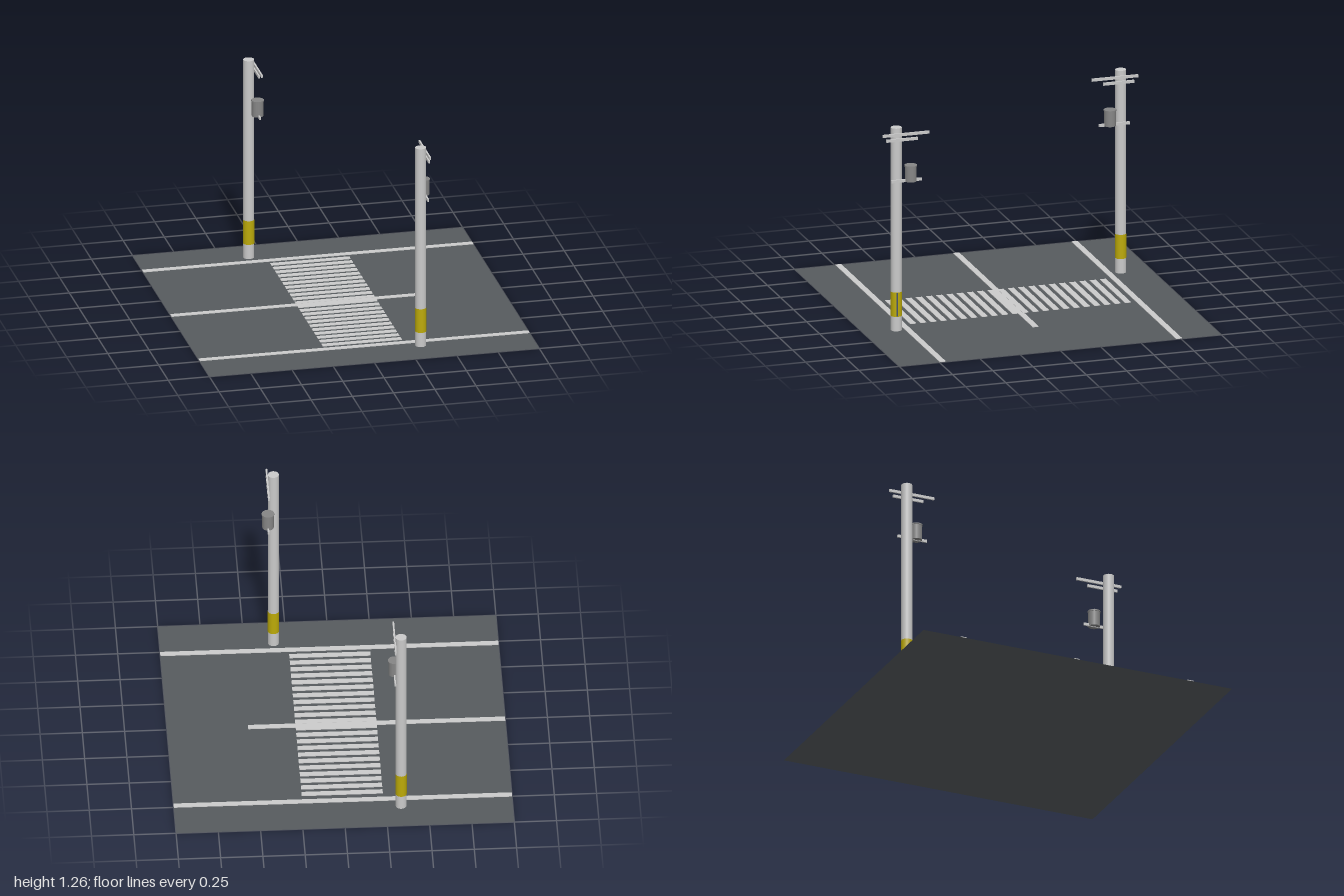
import * as THREE from 'three';

const mat = (name, color, side = THREE.FrontSide) => {
  const m = new THREE.MeshStandardMaterial({ color, side });
  m.name = name;
  return m;
};

export function createModel() {
  const asphalt = mat('asphalt', 0x565b5e, THREE.DoubleSide);
  const paint = mat('roadPaint', 0xcbcbcb);
  const concrete = mat('concrete', 0xcacaca);
  const yellow = mat('warningYellow', 0xbcaa08);
  const metal = mat('transformerGrey', 0x868686);
  const navy = mat('bandSeam', 0x46536b);

  const model = new THREE.Group();
  model.name = 'streetCrossing';

  const add = (parent, name, geometry, material, x, y, z) => {
    const mesh = new THREE.Mesh(geometry, material);
    mesh.name = name;
    mesh.position.set(x, y, z);
    parent.add(mesh);
    return mesh;
  };

  // Road surface
  add(model, 'road', new THREE.PlaneGeometry(2, 2).rotateX(-Math.PI / 2), asphalt, 0, 0, 0);

  // Painted lines: thin plates lying on the road
  const line = (name, x0, x1, z, y = 0.003) =>
    add(model, name, new THREE.BoxGeometry(x1 - x0, 0.004, 0.037), paint, (x0 + x1) / 2, y, z);
  line('backEdgeLine', -1, 1, -0.737);
  line('frontEdgeLine', -1, 1, 0.73);
  line('centreLine', -1, 0.52, -0.003);

  // Zebra crossing
  const stripes = 22;
  for (let i = 0; i < stripes; i++) {
    line('crossingStripe', -0.24, 0.24, -0.667 + (1.334 * i) / (stripes - 1), 0.004);
  }

  // Utility pole; inward is the z direction towards the road
  const makePole = (name, x, z, inward) => {
    const pole = new THREE.Group();
    pole.name = name;
    pole.position.set(x, 0, z);
    model.add(pole);
    const r = 0.033;
    add(pole, 'post', new THREE.CylinderGeometry(r, r, 1.255, 16), concrete, 0, 0.6325, 0);
    add(pole, 'warningBand', new THREE.CylinderGeometry(r + 0.001, r + 0.001, 0.15, 16, 1, true),
      yellow, 0, 0.17, 0);

    // Cross arms fixed to the +x side: [name, height, offset, length]
    const arms = [
      ['topArm', 1.222, 0.048, 0.289],
      ['secondArm', 1.19, 0.024, 0.194],
      ['transformerArm', 0.936, 0.051, 0.19],
    ];
    for (const [armName, y, offset, length] of arms) {
      add(pole, armName, new THREE.BoxGeometry(0.01, 0.017, length), concrete, 0.036, y, inward * offset);
    }

    // Transformer can with a slightly wider lid
    const can = new THREE.Group();
    can.name = 'transformer';
    can.position.set(0.036, 0, inward * 0.078);
    pole.add(can);
    add(can, 'transformerBody', new THREE.CylinderGeometry(0.035, 0.035, 0.092, 16), metal, 0, 0.976, 0);
    add(can, 'transformerLid', new THREE.CylinderGeometry(0.038, 0.038, 0.008, 16), metal, 0, 1.026, 0);
    return pole;
  };
  makePole('backPole', -0.341, -0.81, 1);
  const frontPole = makePole('frontPole', 0.327, 0.8, -1);

  // Dark seam in the front pole's warning band
  add(frontPole, 'bandSeam', new THREE.BoxGeometry(0.003, 0.145, 0.01), navy, 0.0335, 0.17, 0.004);

  return model;
}
